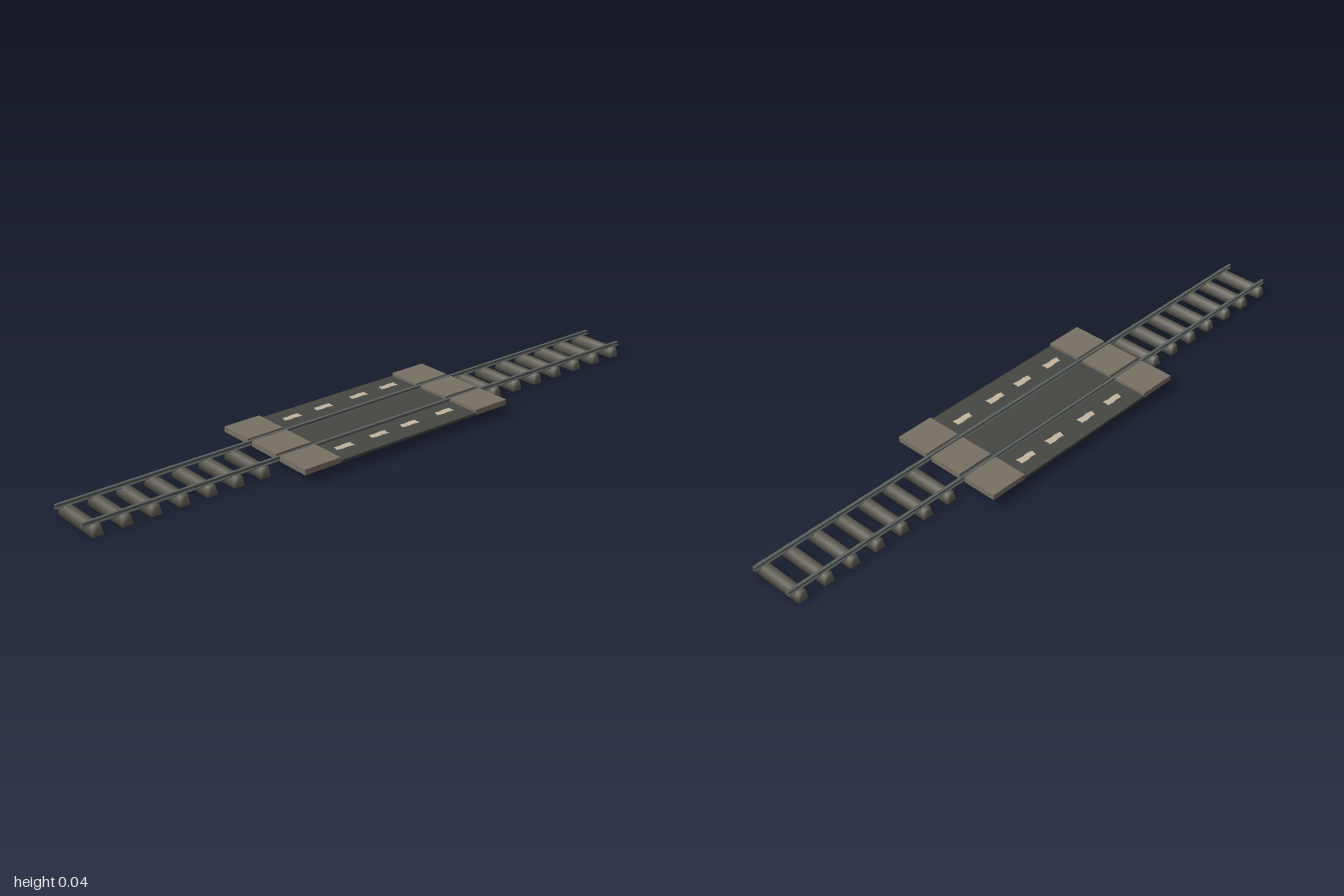
import * as THREE from 'three';
import { mergeVertices } from 'three/addons/utils/BufferGeometryUtils.js';

const mat = (name, color) => {
  const m = new THREE.MeshStandardMaterial({ color });
  m.name = name;
  return m;
};

export function createModel() {
  const model = new THREE.Group();
  const concrete = mat('warm concrete', 0x787064);
  const asphalt = mat('dark asphalt', 0x464742);
  const timber = mat('weathered timber', 0x68665b);
  const steel = mat('rail steel', 0x5a605e);
  const paint = mat('faded paint', 0xc2b5a0);

  const add = (name, geometry, material, x = 0, y = 0, z = 0) => {
    const mesh = new THREE.Mesh(geometry, material);
    mesh.name = name;
    mesh.position.set(x, y, z);
    model.add(mesh);
    return mesh;
  };

  // Box given by its limits along each axis
  const slab = (name, material, [x0, x1], [y0, y1], [z0, z1]) =>
    add(name, new THREE.BoxGeometry(x1 - x0, y1 - y0, z1 - z0), material,
      (x0 + x1) / 2, (y0 + y1) / 2, (z0 + z1) / 2);

  // Crossing deck: three strips with open rail gaps, raised at both ends
  const strips = { back: [-0.188, -0.075], middle: [-0.056, 0.056], front: [0.075, 0.188] };
  for (const [side, z] of Object.entries(strips)) {
    slab(side + 'Road', asphalt, [-0.257, 0.253], [0.027, 0.035], z);
    slab(side + 'RightKerb', concrete, [-0.38, -0.257], [0.027, 0.044], z);
    slab(side + 'LeftKerb', concrete, [0.253, 0.376], [0.027, 0.044], z);
  }

  // Worn lane dashes, thin plates on the road
  const dash = new THREE.Shape([
    [-0.031, -0.008], [-0.012, -0.011], [0.006, -0.009], [0.03, -0.012],
    [0.028, 0.002], [0.031, 0.01], [0.008, 0.012], [-0.01, 0.009], [-0.026, 0.011], [-0.028, 0.002],
  ].map(([x, y]) => new THREE.Vector2(x, y)));
  const dashGeometry = new THREE.ExtrudeGeometry(dash, { depth: 0.002, bevelEnabled: false });
  dashGeometry.rotateX(-Math.PI / 2);
  const dashRows = [[0.123, [-0.193, -0.066, 0.05, 0.185]], [-0.132, [-0.181, -0.065, 0.07, 0.187]]];
  for (const [z, xs] of dashRows) {
    for (const x of xs) add('laneDash', dashGeometry, paint, x, 0.0345, z);
  }

  // Rails: foot, narrow web and head, extruded along x
  const half = [[0.006, 0.028], [0.006, 0.030], [0.0022, 0.032], [0.0022, 0.036], [0.0045, 0.037], [0.0045, 0.041]];
  const outline = [...half, ...half.map(([x, y]) => [-x, y]).reverse()];
  const profile = new THREE.Shape(outline.map(([x, y]) => new THREE.Vector2(x, y)));
  const rail = new THREE.ExtrudeGeometry(profile, { depth: 2, bevelEnabled: false });
  rail.translate(0, 0, -1).rotateY(Math.PI / 2);
  add('frontRail', rail, steel, 0, 0, 0.067);
  add('backRail', rail, steel, 0, 0, -0.067);

  // Sleepers: tapered blocks with soft shared normals
  let sleeper = new THREE.BoxGeometry(0.034, 0.03, 0.174);
  const p = sleeper.attributes.position;
  for (let i = 0; i < p.count; i++) {
    if (p.getY(i) > 0) {
      p.setX(i, p.getX(i) * 0.7);
      p.setZ(i, p.getZ(i) * 0.95);
    }
  }
  sleeper.deleteAttribute('normal');
  sleeper.deleteAttribute('uv');
  sleeper = mergeVertices(sleeper);
  sleeper.computeVertexNormals();
  for (const s of [-1, 1]) {
    for (let i = 0; i < 7; i++) add('sleeper', sleeper, timber, s * (0.966 - i * 0.088), 0.015, 0);
  }

  return model;
}
